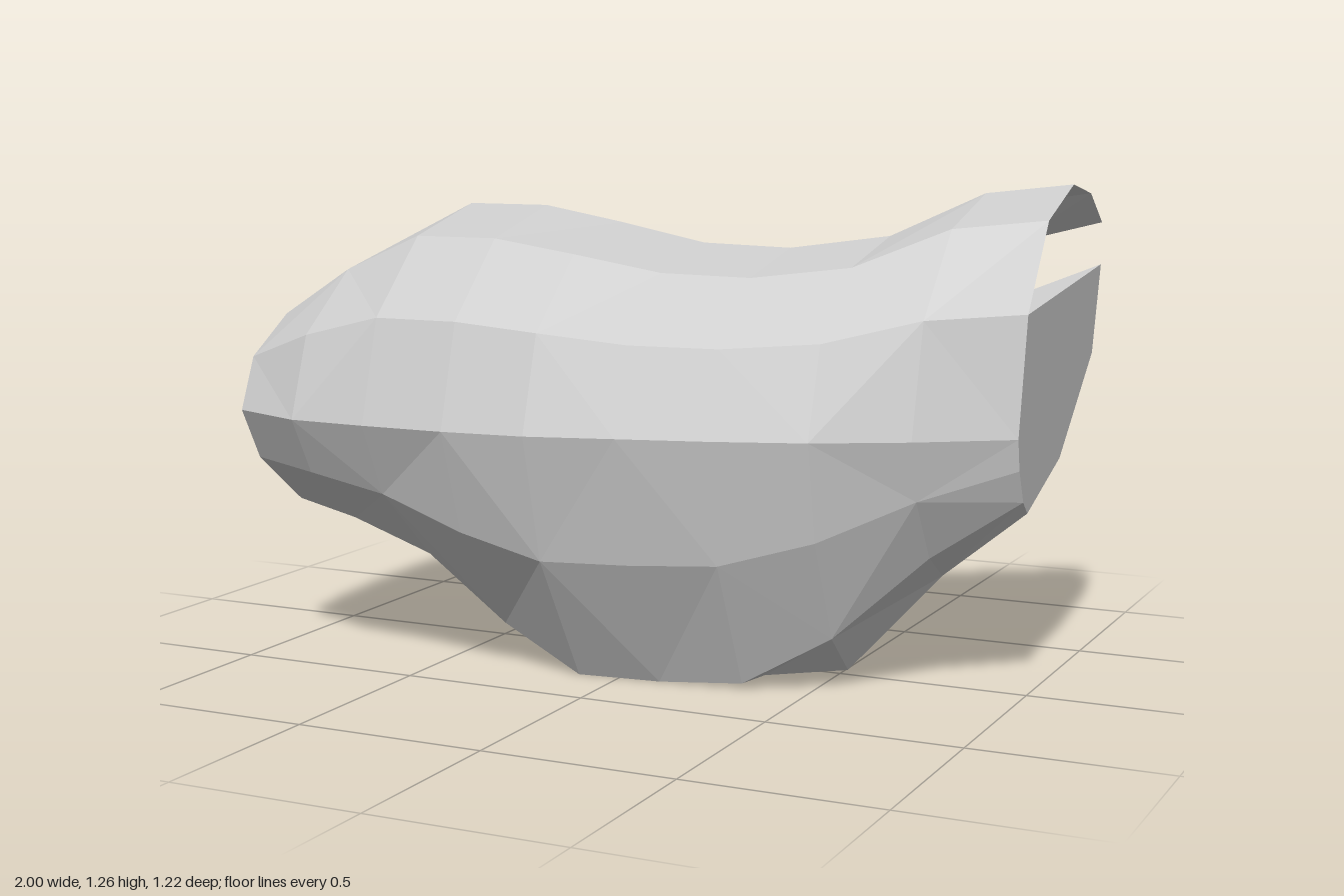
import * as THREE from 'three';

// One row per slice along x: the lowest, foremost, topmost and rearmost points.
// Columns: x, bottomZ, bottomY, frontZ, topZ, topY, backZ, backY
const slices = [
  [-1, .07, .33, .51, .08, .94, -.18, .66],
  [-.78, .12, .3, .6, .05, 1.09, -.3, .67],
  [-.56, .08, .2, .61, .05, 1.2, -.44, .67],
  [-.33, .08, 0, .61, .05, 1.2, -.69, .62],
  [-.11, .1, -.14, .59, .04, 1.16, -.7, .62],
  [.11, .1, -.14, .53, 0, 1.11, -.69, .6],
  [.33, .1, -.12, .47, -.05, 1.1, -.66, .6],
  [.56, .1, .04, .39, -.17, 1.13, -.62, .68],
  [.78, .02, .29, .27, -.28, 1.24, -.58, .95],
  [1, .03, .47, .12, -.32, 1.265, -.66, 1.04],
];
const FRONT_Y = .667;
const BACK_PLANE = -.61;
const STEPS = 3; // facets per quarter
const SIDES = STEPS * 4;

// Four quarter arcs through the extreme points: round above, flatter below,
// then sliced flat by the ground and the back plane.
function makeLoop([x, bottomZ, bottomY, frontZ, topZ, topY, backZ, backY]) {
  const loop = [];
  for (let k = 0; k < SIDES; k++) {
    const angle = (k / SIDES) * Math.PI * 2;
    const upper = k <= SIDES / 2;
    const front = k <= STEPS || k > STEPS * 3;
    const power = upper ? 1 : 1.3;
    const out = Math.abs(Math.cos(angle)) ** power;
    const rise = Math.abs(Math.sin(angle)) ** power;
    const [poleZ, poleY] = upper ? [topZ, topY] : [bottomZ, bottomY];
    const [sideZ, sideY] = front ? [frontZ, FRONT_Y] : [backZ, backY];
    const z = poleZ + (sideZ - poleZ) * out;
    const y = sideY + (poleY - sideY) * rise;
    loop.push([x, Math.max(y, 0), Math.max(z, BACK_PLANE)]);
  }
  return loop;
}

function makeMesh(name, positions) {
  const geometry = new THREE.BufferGeometry();
  geometry.setAttribute('position', new THREE.Float32BufferAttribute(positions, 3));
  geometry.computeVertexNormals();
  const material = new THREE.MeshStandardMaterial({ color: 0xcccccc, flatShading: true, side: THREE.DoubleSide });
  const mesh = new THREE.Mesh(geometry, material);
  mesh.name = name;
  return mesh;
}

// Flat end face as a triangle fan
function makeCap(name, loop) {
  const positions = [];
  for (let k = 1; k < loop.length - 1; k++) positions.push(...loop[0], ...loop[k], ...loop[k + 1]);
  return makeMesh(name, positions);
}

export function createModel() {
  const group = new THREE.Group();
  group.name = 'rock';
  const loops = slices.map(makeLoop);
  const last = loops.length - 1;
  const backIndex = SIDES / 2;

  // Faceted skin between neighbouring slices
  const skin = [];
  for (let i = 0; i < last; i++) {
    for (let k = 0; k < SIDES; k++) {
      if (i === last - 1 && k === backIndex - 1) continue; // open slot at the upper back corner
      const m = (k + 1) % SIDES;
      const a = loops[i][k], b = loops[i][m], c = loops[i + 1][m], d = loops[i + 1][k];
      // Alternate the diagonal for an irregular, chiselled surface
      if ((i + k) % 2) skin.push(...a, ...d, ...c, ...a, ...c, ...b);
      else skin.push(...a, ...d, ...b, ...d, ...c, ...b);
    }
  }
  group.add(makeMesh('rockSkin', skin));

  // Sliced ends; the left one stays open along its top
  group.add(makeCap('rightEnd', loops[0]));
  const leftRim = loops[last].filter((_, k) => k < 2 || k >= backIndex);
  group.add(makeCap('leftEnd', leftRim.reverse()));
  return group;
}
